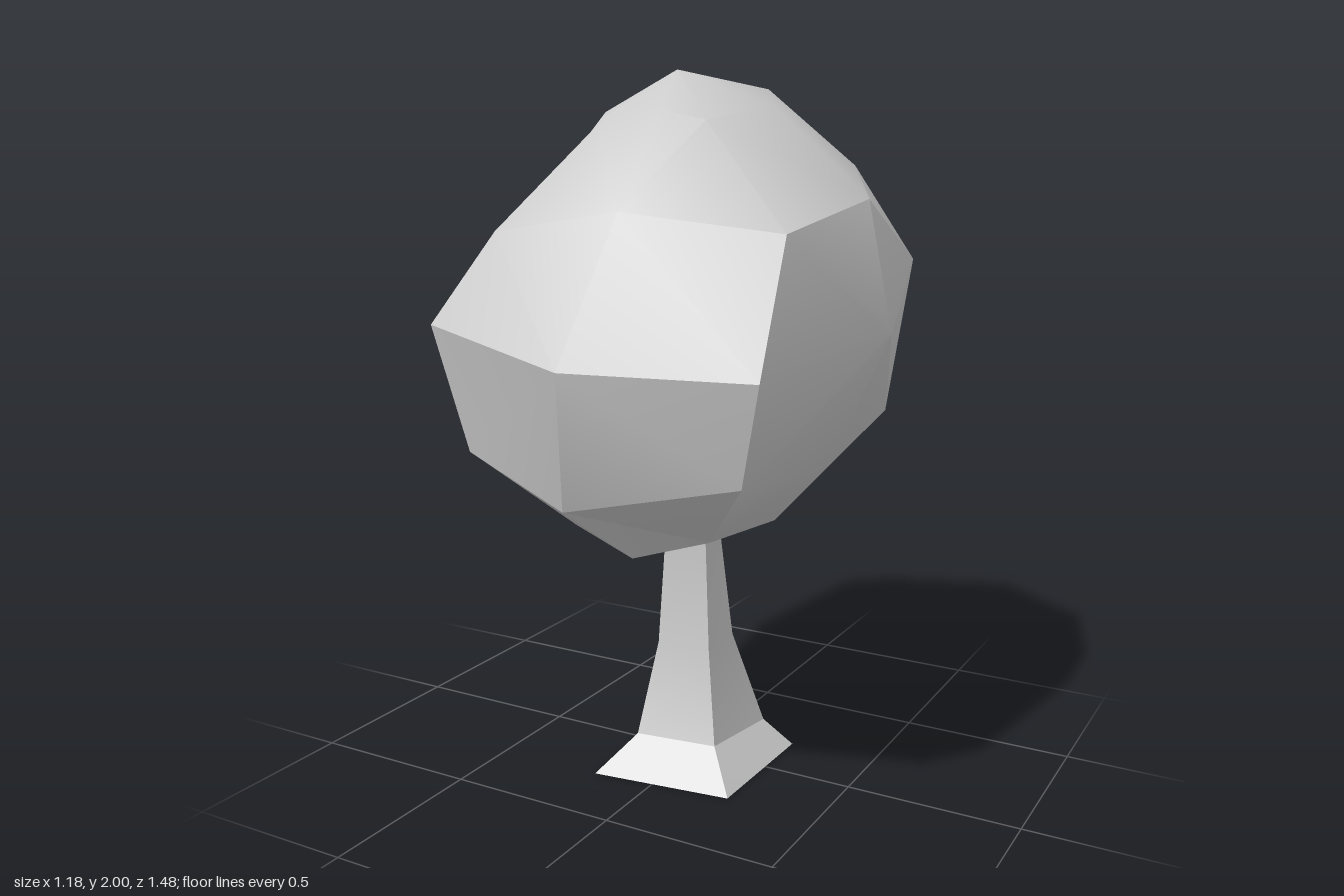
import * as THREE from 'three';
import { toCreasedNormals } from 'three/addons/utils/BufferGeometryUtils.js';

// Joins rings of [x, y, z] points, listed bottom to top, and closes both ends.
function loft(rings, bottom, top, crease) {
  const n = rings[0].length;
  const points = [...rings.flat(), bottom, top];
  const bottomIndex = points.length - 2, topIndex = points.length - 1;
  const index = [];
  for (let r = 0; r < rings.length - 1; r++) {
    for (let i = 0; i < n; i++) {
      const j = (i + 1) % n;
      const a = r * n + i, b = r * n + j, c = b + n, d = a + n;
      // split each quad along its shorter diagonal
      const dist = (p, q) => Math.hypot(...points[p].map((v, k) => v - points[q][k]));
      if (dist(a, c) < dist(b, d)) index.push(a, b, c, a, c, d);
      else index.push(a, b, d, b, c, d);
    }
  }
  const last = (rings.length - 1) * n;
  for (let i = 0; i < n; i++) {
    const j = (i + 1) % n;
    index.push(bottomIndex, j, i, topIndex, last + i, last + j);
  }
  const geometry = new THREE.BufferGeometry();
  geometry.setAttribute('position', new THREE.Float32BufferAttribute(points.flat(), 3));
  geometry.setIndex(index);
  return toCreasedNormals(geometry, crease);
}

export function createModel() {
  const group = new THREE.Group();
  group.name = 'tree';
  const material = new THREE.MeshStandardMaterial({ color: 0xcccccc });
  const add = (name, geometry) => {
    const mesh = new THREE.Mesh(geometry, material);
    mesh.name = name;
    group.add(mesh);
  };

  // Trunk: four-sided, flared at the foot and leaning forward near the crown
  const trunkRings = [
    [[0.23, 0, 0.23], [0.24, 0, -0.18], [-0.16, 0, -0.19], [-0.18, 0, 0.28]],
    [[0.14, 0.1, 0.14], [0.16, 0.08, -0.14], [-0.09, 0.08, -0.14], [-0.1, 0.1, 0.17]],
    [[0.08, 0.36, 0.065], [0.08, 0.36, -0.085], [-0.07, 0.36, -0.085], [-0.08, 0.36, 0.08]],
    [[0.085, 0.8, 0.1], [0.08, 0.8, 0.02], [-0.03, 0.8, 0.02], [-0.03, 0.8, 0.11]],
  ];
  add('trunk', loft(trunkRings, [0.03, 0, 0.03], [0.03, 0.8, 0.06], 0.42));

  // Crown: five uneven rings, each running front, left, back, right
  const crownRings = [
    [[0.03, 0.72, 0.40], [0.22, 0.77, 0.32], [0.29, 0.78, 0.07], [0.22, 0.83, -0.27],
      [0, 0.79, -0.33], [-0.2, 0.82, -0.27], [-0.23, 0.74, 0.07], [-0.2, 0.76, 0.32]],
    [[-0.04, 0.89, 0.62], [0.43, 0.99, 0.55], [0.43, 0.94, 0.03], [0.4, 1.01, -0.47],
      [0, 1.0, -0.61], [-0.42, 1.02, -0.48], [-0.4, 0.91, 0.03], [-0.4, 0.99, 0.53]],
    [[0.03, 1.27, 0.74], [0.5, 1.26, 0.6], [0.59, 1.31, 0], [0.43, 1.46, -0.59],
      [-0.01, 1.48, -0.74], [-0.52, 1.46, -0.53], [-0.59, 1.37, 0.03], [-0.45, 1.34, 0.61]],
    [[0.09, 1.64, 0.55], [0.47, 1.59, 0.4], [0.51, 1.66, -0.02], [0.32, 1.74, -0.38],
      [0, 1.82, -0.53], [-0.43, 1.68, -0.48], [-0.55, 1.64, -0.03], [-0.31, 1.58, 0.51]],
    [[0.03, 1.89, 0.25], [0.18, 1.86, 0.27], [0.25, 1.9, 0.02], [0.15, 1.95, -0.15],
      [-0.02, 1.98, -0.24], [-0.23, 1.95, -0.21], [-0.28, 1.89, 0.02], [-0.14, 1.86, 0.26]],
  ];
  add('crown', loft(crownRings, [0.08, 0.71, 0.07], [-0.04, 2, 0.03], 0.62));

  return group;
}
